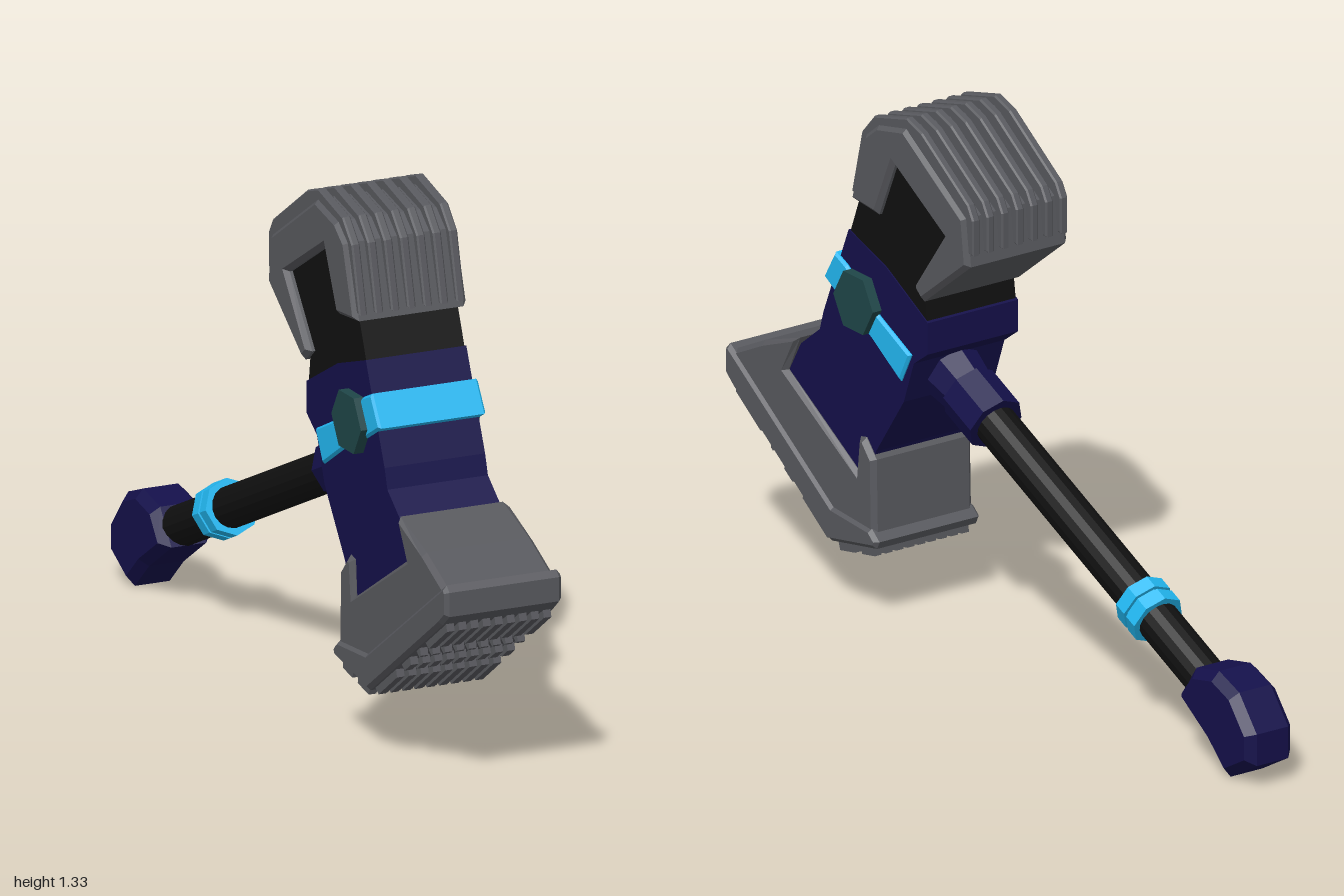
import * as THREE from 'three';

const paint = (color) => new THREE.MeshStandardMaterial({ color, flatShading: true });
const YAW = -0.155;

export function createModel() {
  const model = new THREE.Group();
  model.name = 'warHammer';
  const grey = paint(0x58595e), navy = paint(0x14104a), black = paint(0x101010);
  const cyan = paint(0x22b8f2), teal = paint(0x1f4648);

  // The whole hammer is turned a little about the vertical
  const hammer = new THREE.Group();
  hammer.name = 'hammer';
  hammer.rotation.y = YAW;
  hammer.position.set(0.04, 0, -0.022);
  model.add(hammer);

  const add = (name, geo, mat, parent = hammer) => {
    const mesh = new THREE.Mesh(geo, mat);
    mesh.name = name;
    parent.add(mesh);
    return mesh;
  };

  // Slab: side profile of [z, y] points, extruded across x
  const slab = (name, pts, half, mat, bevel = 0, x = 0) => {
    const shape = new THREE.Shape(pts.map(([z, y]) => new THREE.Vector2(-z * 1.012, y)));
    const geo = new THREE.ExtrudeGeometry(shape, {
      depth: 2 * (half - bevel), bevelEnabled: bevel > 0, bevelSegments: 1,
      bevelSize: bevel, bevelThickness: bevel, bevelOffset: -bevel,
    });
    geo.translate(0, 0, bevel - half);
    geo.rotateY(Math.PI / 2);
    geo.translate(x, 0, 0);
    return add(name, geo, mat);
  };

  // Head core: dark upper block and navy lower block
  slab('upperCore', [[0.49, 1.06], [0.42, 1.24], [0.3, 1.27], [0.08, 1.12], [0.23, 0.9],
    [0.215, 0.79], [0.527, 0.965]], 0.13, black);
  slab('lowerCore', [[0.53, 0.97], [0.63, 0.73], [0.645, 0.68], [0.72, 0.62], [0.8, 0.48],
    [0.48, 0.3], [0.42, 0.44], [0.31, 0.6], [0.27, 0.71], [0.215, 0.75], [0.215, 0.83],
    [0.38, 0.92]], 0.133, navy);

  // Glowing band with a hexagonal gem through both sides
  slab('glowBand', [[0.575, 0.9], [0.62, 0.825], [0.5, 0.755], [0.43, 0.725], [0.315, 0.652],
    [0.275, 0.73], [0.4, 0.79], [0.53, 0.88]], 0.142, cyan, 0.006);
  const gem = new THREE.CylinderGeometry(0.08, 0.08, 0.318, 6).rotateZ(Math.PI / 2);
  add('hexGem', gem, teal).position.set(0, 0.805, 0.483);

  // Upper cap: a shell hooked over the core
  slab('upperCap', [[0.505, 1.06], [0.45, 1.24], [0.4, 1.28], [0.29, 1.305], [0.05, 1.15],
    [0.035, 1.03], [0.22, 0.885], [0.255, 0.915], [0.135, 1.08], [0.335, 1.2], [0.4, 1.05]],
  0.15, grey, 0.012);

  // Ribs running up the front, over the top and down the back of the cap
  const capPath = [[0.51, 1.075], [0.47, 1.24], [0.42, 1.295], [0.29, 1.33], [0.23, 1.31],
    [0.045, 1.185], [0.025, 1.15], [0.025, 1.06]];
  const capInner = capPath.map(([z, y]) => [z + (0.28 - z) * 0.2, y + (1.08 - y) * 0.2]).reverse();
  for (let i = -3; i <= 3; i++) {
    slab('capRib', [...capPath, ...capInner], 0.011, grey, 0.004, i * 0.043);
  }

  // Foot: a flared shell with a notch on each side
  slab('foot', [[0.72, 0.635], [0.86, 0.585], [0.97, 0.53], [0.98, 0.47], [0.58, 0.18],
    [0.41, 0.21], [0.415, 0.42], [0.455, 0.465], [0.478, 0.46], [0.485, 0.37],
    [0.765, 0.54]], 0.147, grey, 0.012);
  slab('footPlate', [[0.985, 0.54], [1.0, 0.525], [1.0, 0.465], [0.965, 0.435], [0.58, 0.165],
    [0.4, 0.2], [0.39, 0.22], [0.42, 0.245], [0.57, 0.255]], 0.155, grey, 0.01);

  // Short ribs in stepped rows under the foot
  const rows = [
    { a: [0.985, 0.455], b: [0.575, 0.165], n: [0.573, -0.82],
      spans: [[0.03, 0.33], [0.37, 0.45], [0.5, 0.64], [0.68, 0.98]] },
    { a: [0.575, 0.165], b: [0.4, 0.2], n: [-0.2, -0.98], spans: [[0.05, 0.45], [0.55, 0.9]] },
  ];
  for (const { a, b, n, spans } of rows) {
    const at = (t, d) => [0, 1].map((k) => a[k] + (b[k] - a[k]) * t + n[k] * d);
    for (const [s, e] of spans) {
      for (let i = -4; i <= 4; i++) {
        slab('footRib', [at(s, -0.02), at(s + 0.03, 0.022), at(e - 0.03, 0.022), at(e, -0.02)],
          0.01, grey, 0, i * 0.032);
      }
    }
  }

  // Handle: local +y runs from the head to the pommel
  const handle = new THREE.Group();
  handle.name = 'handle';
  handle.position.set(0, 0.577, 0.134);
  handle.rotation.x = -1.995;
  hammer.add(handle);
  const rod = (name, rEnd, rStart, from, to, sides, mat) => {
    const geo = new THREE.CylinderGeometry(rEnd, rStart, to - from, sides);
    add(name, geo, mat, handle).position.y = (from + to) / 2;
  };
  rod('socket', 0.065, 0.085, -0.24, -0.1, 8, navy);
  rod('collar', 0.075, 0.075, -0.11, 0.01, 8, navy);
  rod('shaft', 0.052, 0.052, -0.1, 0.98, 16, black);
  for (const t of [0.665, 0.71]) rod('glowRing', 0.07, 0.07, t - 0.018, t + 0.018, 8, cyan);
  rod('ringCore', 0.06, 0.06, 0.65, 0.725, 8, cyan);

  // Pommel: a faceted block with a narrower middle and wider cheeks
  slab('pommel', [[-0.68, 0.15], [-0.74, 0.235], [-0.83, 0.255], [-0.91, 0.225], [-0.98, 0.14],
    [-0.98, 0.06], [-0.875, 0.0], [-0.8, 0.07]], 0.068, navy, 0.022);
  return model;
}
